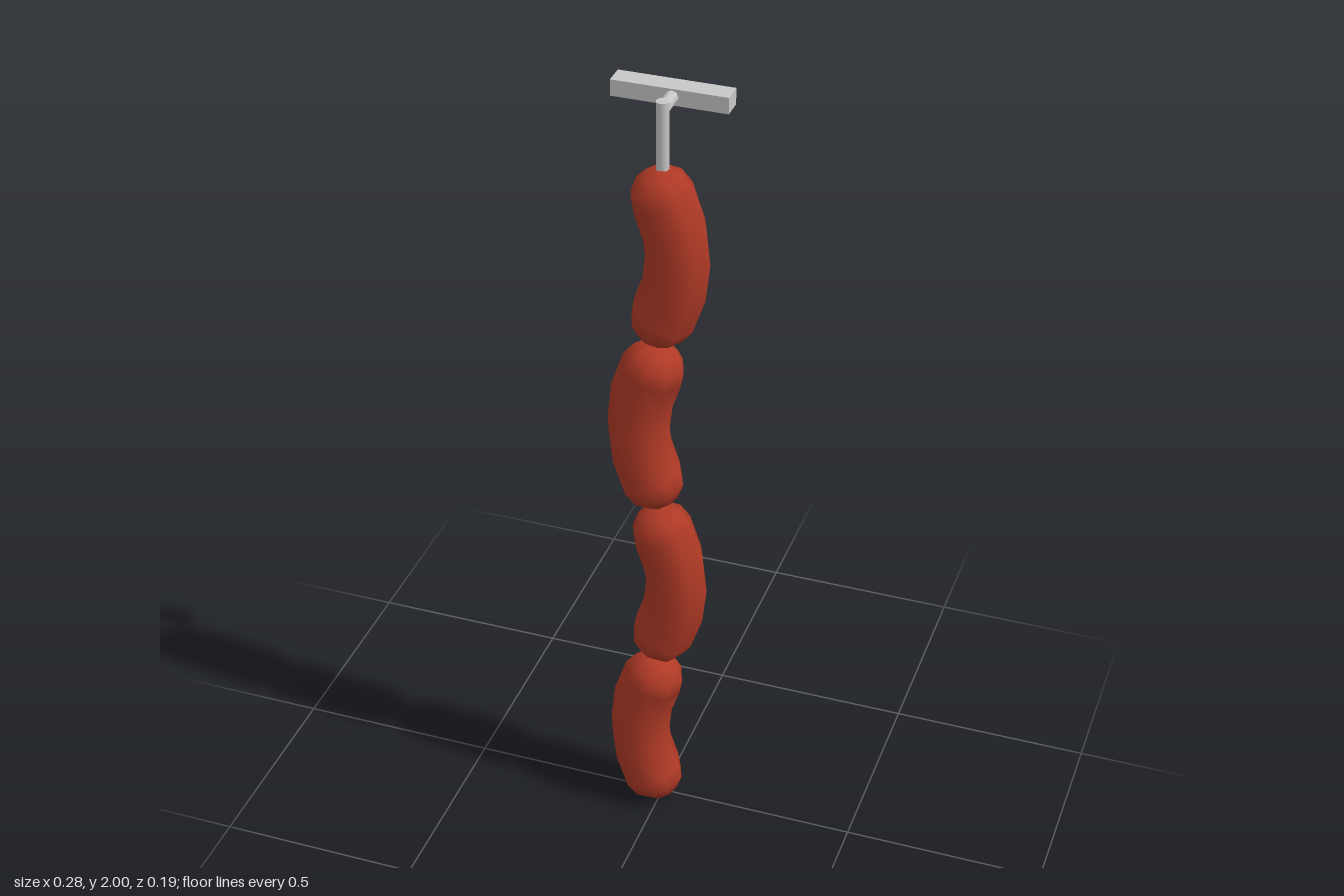
import * as THREE from 'three';

const RADIUS = 0.078;
const HALF = 0.152; // half height of the bent body, without its round ends
const SAG = 0.034; // how far the middle bulges sideways
const AXIS_Z = 0.016;

// Capsule whose straight axis is wrapped onto a circular arc, bulging to +x.
function bentSausage() {
  const arcRadius = (HALF * HALF + SAG * SAG) / (2 * SAG);
  const maxAngle = Math.asin(HALF / arcRadius);
  const geometry = new THREE.CapsuleGeometry(RADIUS, 2 * arcRadius * maxAngle, 3, 8, 4);
  const pos = geometry.attributes.position;
  const nor = geometry.attributes.normal;
  const zAxis = new THREE.Vector3(0, 0, 1);
  const p = new THREE.Vector3();
  const n = new THREE.Vector3();
  for (let i = 0; i < pos.count; i++) {
    p.fromBufferAttribute(pos, i);
    n.fromBufferAttribute(nor, i);
    const a = THREE.MathUtils.clamp(p.y / arcRadius, -maxAngle, maxAngle);
    p.y -= a * arcRadius; // what is left over belongs to the round end
    p.applyAxisAngle(zAxis, a);
    p.x += arcRadius * (Math.cos(a) - 1);
    p.y += arcRadius * Math.sin(a);
    n.applyAxisAngle(zAxis, a);
    pos.setXYZ(i, p.x, p.y, p.z);
    nor.setXYZ(i, n.x, n.y, n.z);
  }
  return geometry;
}

export function createModel() {
  const model = new THREE.Group();
  model.name = 'hangingSausages';

  const sausageRed = new THREE.MeshStandardMaterial({ color: 0xb03a26 });
  sausageRed.name = 'sausage red';
  const metalGrey = new THREE.MeshStandardMaterial({ color: 0xc8c8c8 });
  metalGrey.name = 'metal grey';

  const add = (name, geometry, material, x, y, z) => {
    const mesh = new THREE.Mesh(geometry, material);
    mesh.name = name;
    mesh.position.set(x, y, z);
    model.add(mesh);
    return mesh;
  };

  // Four sausages, bulging alternately to either side
  const sausage = bentSausage();
  for (let i = 0; i < 4; i++) {
    const side = i % 2 === 0 ? 1 : -1;
    const link = add('sausage' + (i + 1), sausage, sausageRed,
      -0.007 + side * 0.048, 1.608 - i * 0.4585, AXIS_Z);
    if (side < 0) link.rotation.z = Math.PI;
  }

  // Hook: upright rod and short arm to the wall bar
  const rodRadius = 0.016;
  add('hangerRod', new THREE.CylinderGeometry(rodRadius, rodRadius, 0.19, 8),
    metalGrey, 0.005, 1.904, AXIS_Z - 0.001);
  const arm = add('hangerArm', new THREE.CylinderGeometry(rodRadius, rodRadius, 0.065, 8),
    metalGrey, 0.005, 1.981, -0.0165);
  arm.rotation.x = Math.PI / 2;

  // Wall bar
  add('wallBar', new THREE.BoxGeometry(0.277, 0.04, 0.052), metalGrey, -0.001, 1.98, -0.071);

  return model;
}
